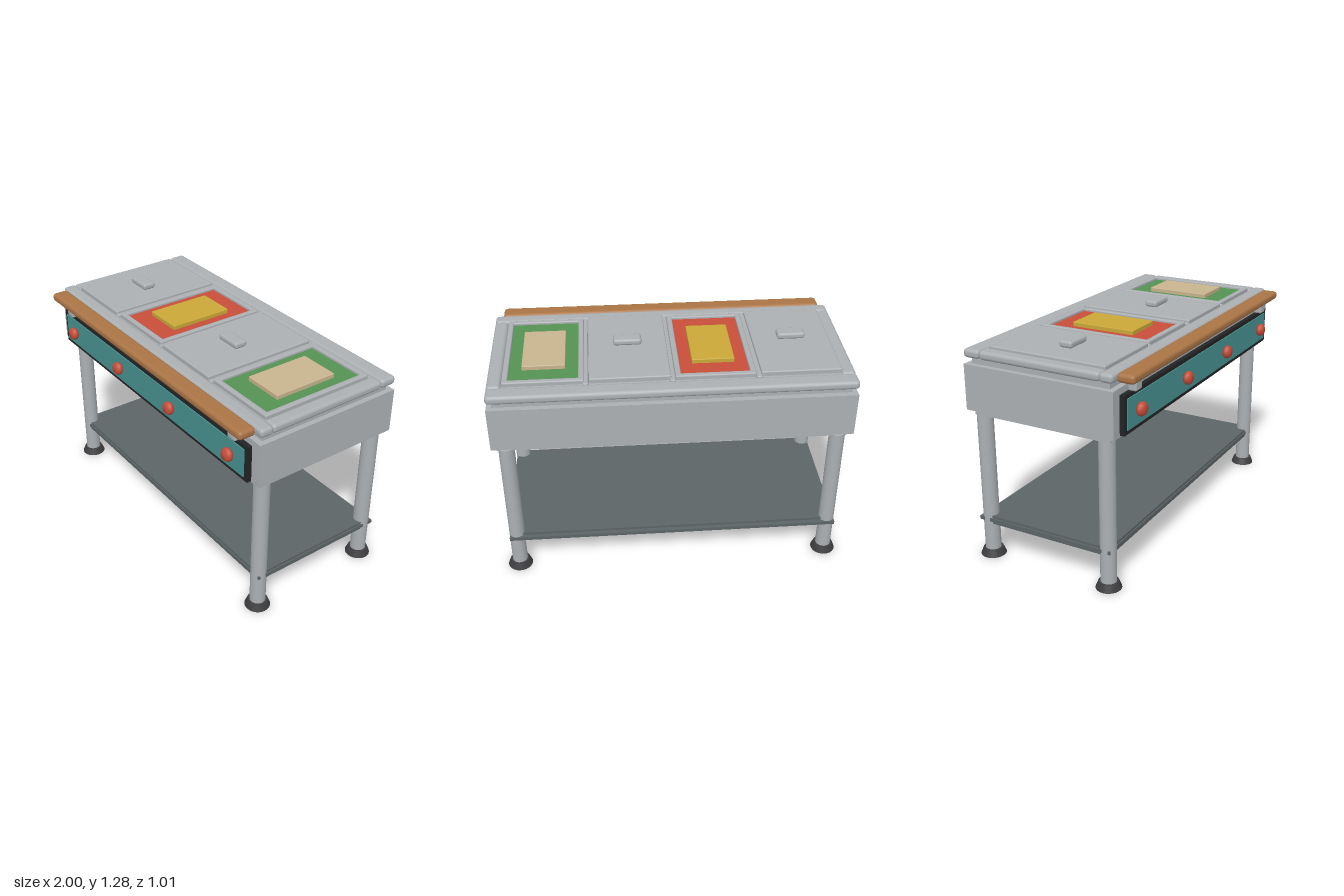
import * as THREE from 'three';
import { RoundedBoxGeometry } from 'three/addons/geometries/RoundedBoxGeometry.js';

const mat = (name, color) => {
  const m = new THREE.MeshStandardMaterial({ color });
  m.name = name;
  return m;
};

export function createModel() {
  const model = new THREE.Group();
  model.name = 'servingCounter';

  const steel = mat('steel', 0xacb0b3);
  const wood = mat('wood', 0xab7546);
  const teal = mat('teal', 0x479290);
  const black = mat('black', 0x232425);
  const rubber = mat('rubber', 0x3e3e41);
  const shelfGrey = mat('shelfGrey', 0x5d6567);
  const red = mat('red', 0xc84e3a);
  const yellow = mat('yellow', 0xc9a838);
  const green = mat('green', 0x569254);
  const tan = mat('tan', 0xc8b48e);

  const add = (name, geometry, material, x = 0, y = 0, z = 0) => {
    const mesh = new THREE.Mesh(geometry, material);
    mesh.name = name;
    mesh.position.set(x, y, z);
    model.add(mesh);
    return mesh;
  };
  // Boxes are given by their limits; a radius rounds the edges
  const box = (name, material, [x0, x1], [y0, y1], [z0, z1], radius = 0) => {
    const size = [x1 - x0, y1 - y0, z1 - z0];
    const geometry = radius
      ? new RoundedBoxGeometry(...size, 2, radius)
      : new THREE.BoxGeometry(...size);
    return add(name, geometry, material, (x0 + x1) / 2, (y0 + y1) / 2, (z0 + z1) / 2);
  };

  // Cabinet with a raised skin on each side
  box('cabinet', steel, [-0.97, 0.97], [0.86, 1.19], [-0.46, 0.375]);
  const skinY = [0.89, 1.146];
  box('frontSkin', steel, [-0.97, 0.97], skinY, [0.37, 0.408]);
  box('backSkin', steel, [-0.97, 0.97], skinY, [-0.493, -0.455]);
  box('rightSkin', steel, [-1, -0.965], skinY, [-0.493, 0.41]);
  box('leftSkin', steel, [0.965, 1], skinY, [-0.493, 0.41]);

  // Control panel and knobs
  box('controlFrame', black, [-0.935, 0.935], [0.897, 1.11], [0.4, 0.435]);
  box('controlPanel', teal, [-0.91, 0.91], [0.92, 1.087], [0.434, 0.441]);
  const knobProfile = [[0, 0], [0.028, 0], [0.038, 0.012], [0.038, 0.026], [0.027, 0.041], [0, 0.043]]
    .map(([r, h]) => new THREE.Vector2(r, h));
  const knobGeometry = new THREE.LatheGeometry(knobProfile, 16);
  for (let i = 0; i < 4; i++) {
    add('knob', knobGeometry, red, -0.8 + i * 0.533, 1.003, 0.44).rotation.x = Math.PI / 2;
  }

  // Legs with flared feet
  const legGeometry = new THREE.CylinderGeometry(0.045, 0.045, 0.84, 24);
  const footGeometry = new THREE.CylinderGeometry(0.056, 0.072, 0.04, 24);
  for (const x of [-0.922, 0.922]) {
    for (const z of [0.326, -0.435]) {
      add('leg', legGeometry, steel, x, 0.45, z);
      add('foot', footGeometry, rubber, x, 0.02, z);
    }
  }

  // Lower shelf with a projecting middle lip
  box('shelf', shelfGrey, [-0.955, 0.955], [0.205, 0.255], [-0.46, 0.35]);
  box('shelfLip', shelfGrey, [-0.963, 0.963], [0.22, 0.24], [-0.485, 0.357]);

  // Rounded rim around the worktop
  const rimY = [1.18, 1.23];
  box('frontRim', steel, [-1, 1], rimY, [0.325, 0.405], 0.02);
  box('backRim', steel, [-1, 1], rimY, [-0.495, -0.395], 0.02);
  box('rightRim', steel, [-1, -0.92], rimY, [-0.395, 0.33], 0.02);
  box('leftRim', steel, [0.92, 1], rimY, [-0.395, 0.33], 0.02);
  box('worktop', steel, [-0.95, 0.95], [1.17, 1.215], [-0.42, 0.35]);

  // Wooden rail on two brackets
  box('woodenRail', wood, [-0.96, 0.957], rimY, [0.403, 0.504], 0.02);
  for (const x of [-0.827, 0.827]) {
    box('railBracket', steel, [x - 0.032, x + 0.032], [1.11, 1.19], [0.41, 0.46], 0.01);
  }

  // Dividers between the four bays
  for (const x of [-0.47, 0, 0.47]) {
    box('divider', steel, [x - 0.016, x + 0.016], [1.19, 1.23], [-0.395, 0.33], 0.008);
  }

  // Lids with handles
  for (const x of [-0.705, 0.23]) {
    box('lid', steel, [x - 0.222, x + 0.222], [1.2, 1.243], [-0.37, 0.325], 0.008);
    box('lidHandle', steel, [x - 0.08, x + 0.08], [1.245, 1.283], [-0.04, 0.04], 0.015);
  }

  // Framed open wells, each holding a coloured tray and a slab
  const wells = [[-0.236, red, yellow], [0.697, green, tan]];
  for (const [x, trayColor, slabColor] of wells) {
    for (const s of [-1, 1]) {
      const cx = x + s * 0.205;
      box('wellSide', steel, [cx - 0.016, cx + 0.016], [1.2, 1.24], [-0.37, 0.315], 0.008);
    }
    for (const z of [-0.357, 0.299]) {
      box('wellEnd', steel, [x - 0.22, x + 0.22], [1.2, 1.24], [z - 0.016, z + 0.016], 0.008);
    }
    box('tray', trayColor, [x - 0.19, x + 0.19], [1.205, 1.225], [-0.342, 0.284]);
    box('slab', slabColor, [x - 0.119, x + 0.119], [1.22, 1.25], [-0.225, 0.16], 0.005);
  }

  return model;
}
